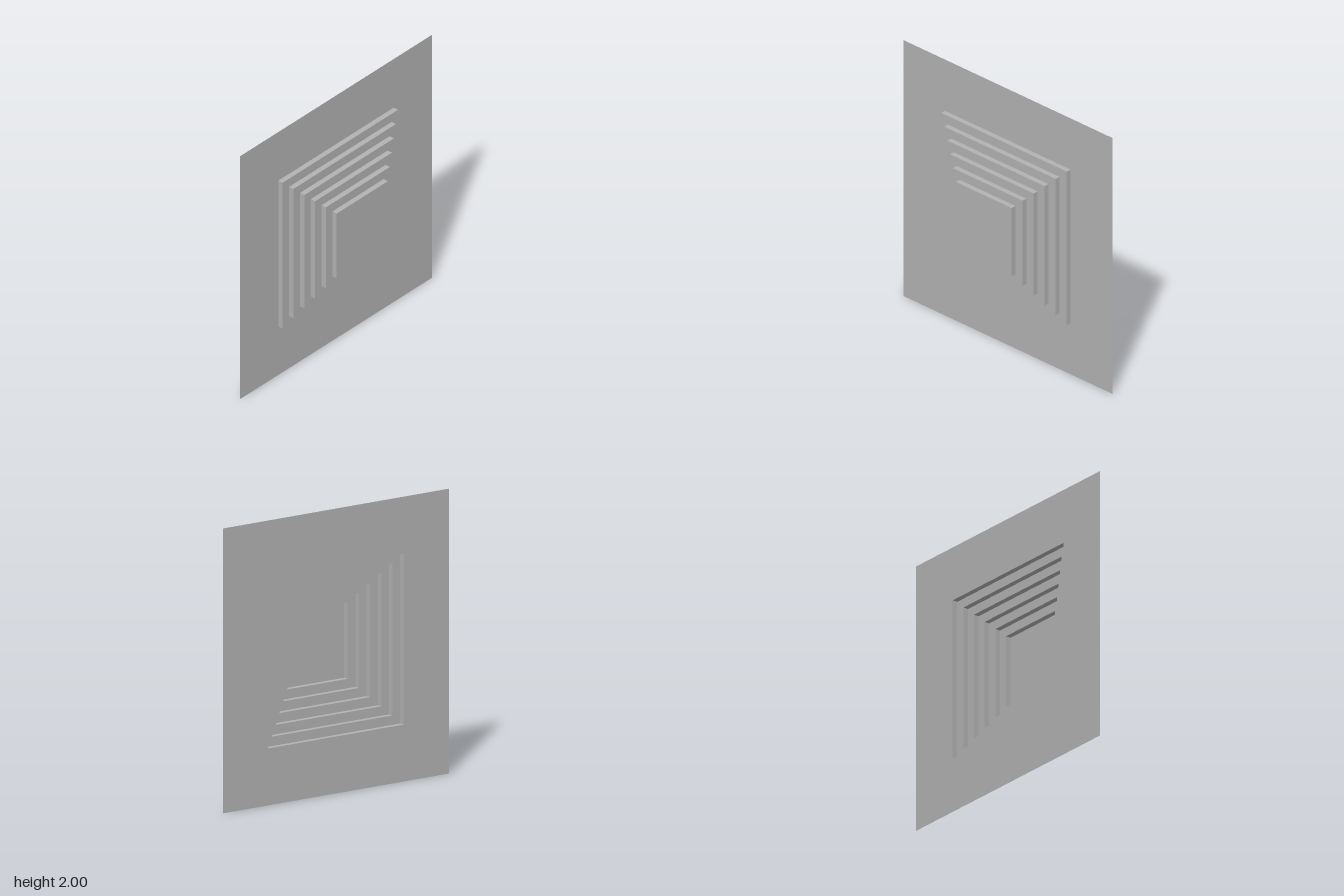
import * as THREE from 'three';

const STEPS = 6;
const DEPTH = 0.04;
const BACK = -0.12;
const CENTRE_Y = 1;

// Half width of each terrace, shrinking toward the front
const halfWidth = (i) => 0.6 - i / 15;

function square(half, PathType) {
  return new PathType([
    new THREE.Vector2(-half, -half),
    new THREE.Vector2(half, -half),
    new THREE.Vector2(half, half),
    new THREE.Vector2(-half, half),
  ]);
}

// Flat square sheet with an optional square opening
function sheet(outer, inner) {
  const shape = square(outer, THREE.Shape);
  if (inner) shape.holes.push(square(inner, THREE.Path));
  return new THREE.ShapeGeometry(shape);
}

// Four walls of a square tube, open at both ends along z
function walls(half) {
  const r = half * Math.SQRT2;
  return new THREE.CylinderGeometry(r, r, DEPTH, 4, 1, true, Math.PI / 4).rotateX(Math.PI / 2);
}

export function createModel() {
  const grey = new THREE.MeshStandardMaterial({
    name: 'grey', color: 0xb2b2b2, side: THREE.DoubleSide, flatShading: true,
  });
  const model = new THREE.Group();
  model.name = 'steppedPanel';

  function add(name, geometry, z) {
    const mesh = new THREE.Mesh(geometry, grey);
    mesh.name = name;
    mesh.position.set(0, CENTRE_Y, z);
    model.add(mesh);
  }

  // Thin back panel, open behind the hollow steps
  add('panel', sheet(1, halfWidth(0)), BACK);

  // Hollow terraces: walls, then a ledge; the last ledge is the closed cap
  for (let i = 0; i < STEPS; i++) {
    const last = i === STEPS - 1;
    const z = BACK + i * DEPTH;
    add(`stepWalls${i + 1}`, walls(halfWidth(i)), z + DEPTH / 2);
    add(last ? 'cap' : `stepLedge${i + 1}`,
      sheet(halfWidth(i), last ? 0 : halfWidth(i + 1)), z + DEPTH);
  }
  return model;
}
